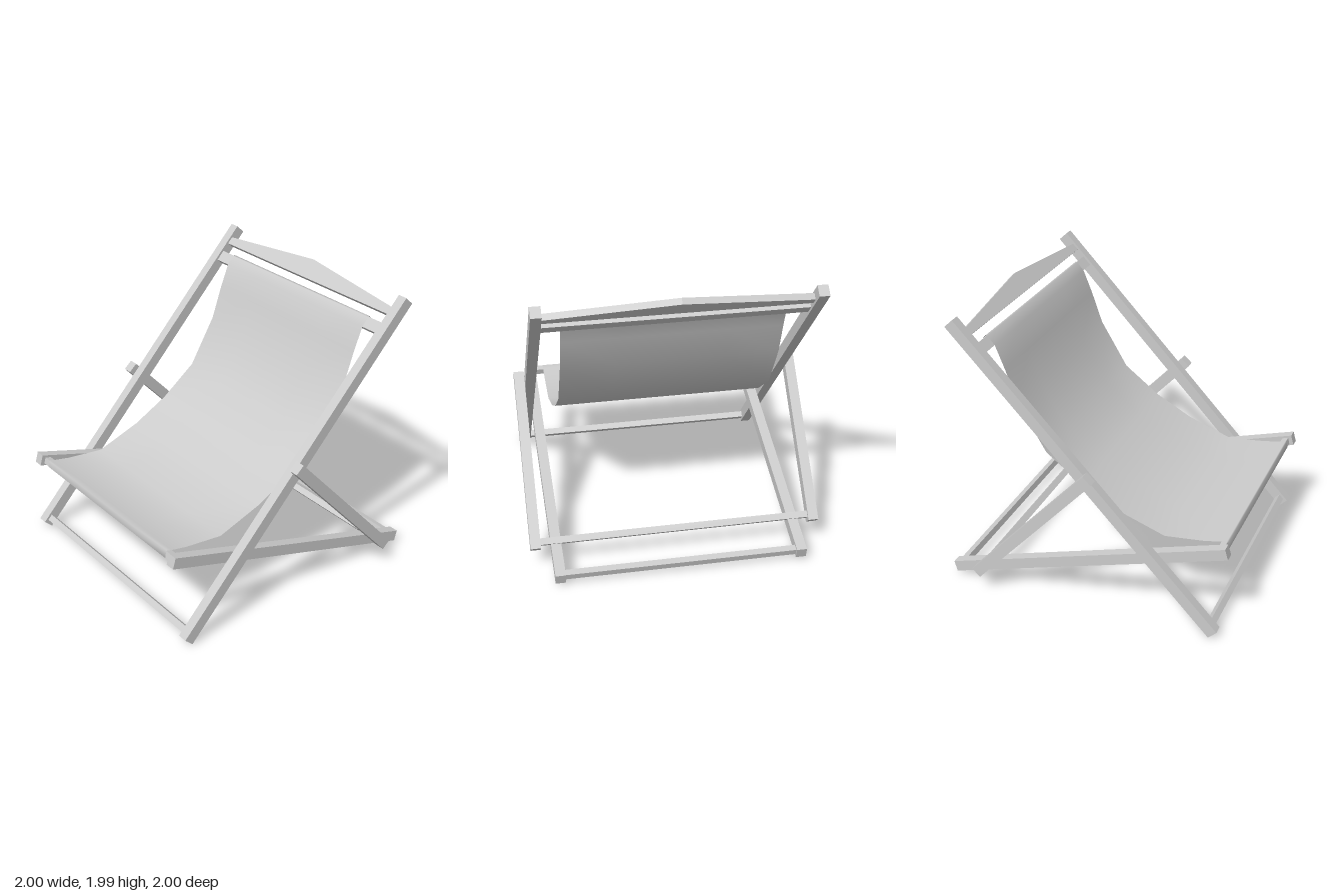
import * as THREE from 'three';

const material = new THREE.MeshStandardMaterial({ color: 0xcccccc });
const clothMaterial = new THREE.MeshStandardMaterial({ color: 0xcccccc, side: THREE.DoubleSide });

// Rail centre lines in the side plane, as [z, y] from top/front end to lower end
const BACK = { from: [-0.872, 1.97], to: [0.937, 0.033] };
const SEAT = { from: [0.992, 0.63], to: [-0.99, 0.063] };
const STRUT = { from: [0.09, 1.057], to: [-0.752, 0.153] };

const tilt = ({ from, to }) => Math.atan2(from[1] - to[1], to[0] - from[0]);

function addBox(group, name, size, x, y, z, angle) {
  const mesh = new THREE.Mesh(new THREE.BoxGeometry(...size), material);
  mesh.name = name;
  mesh.position.set(x, y, z);
  mesh.rotation.x = angle;
  group.add(mesh);
}

// A mirrored pair of long rails
function addRails(group, name, line, x) {
  const { from, to } = line;
  const length = Math.hypot(to[0] - from[0], to[1] - from[1]);
  for (const side of [1, -1]) {
    addBox(group, (side > 0 ? 'left' : 'right') + name, [0.07, 0.078, length],
      side * x, (from[1] + to[1]) / 2, (from[0] + to[0]) / 2, tilt(line));
  }
}

// A crossbar lying in the plane of a rail pair, placed at depth z
function addCrossbar(group, name, line, z, halfWidth, along = 0.045) {
  const { from, to } = line;
  const y = from[1] + (to[1] - from[1]) * (z - from[0]) / (to[0] - from[0]);
  addBox(group, name, [halfWidth * 2, 0.045, along], 0, y, z, tilt(line));
}

// Peaked board between the tops of the back rails
function makeHeadboard() {
  const shape = new THREE.Shape();
  shape.moveTo(-0.86, 0);
  shape.lineTo(0.86, 0);
  shape.lineTo(0.86, 0.055);
  shape.lineTo(0, 0.144);
  shape.lineTo(-0.86, 0.055);
  shape.closePath();
  const depth = 0.045;
  const geometry = new THREE.ExtrudeGeometry(shape, { depth, bevelEnabled: false });
  geometry.translate(0, 0, -depth / 2);
  const mesh = new THREE.Mesh(geometry, material);
  mesh.name = 'headboard';
  mesh.position.set(0, 1.865, -0.772);
  mesh.rotation.x = tilt(BACK) - Math.PI / 2;
  return mesh;
}

// Sagging cloth: a side profile swept across the width
function makeCloth() {
  const profile = [ // [z, y], from under the front bar to behind the upper bar
    [0.958, 0.592], [0.972, 0.598], [0.963, 0.642], [0.955, 0.648], [0.92, 0.637],
    [0.8, 0.615], [0.527, 0.59], [0.206, 0.709], [-0.056, 0.853], [-0.313, 1.051],
    [-0.51, 1.382], [-0.59, 1.612], [-0.655, 1.774], [-0.705, 1.829], [-0.714, 1.836], [-0.745, 1.802],
  ];
  const geometry = new THREE.PlaneGeometry(1.46, 1, 4, profile.length - 1);
  const position = geometry.attributes.position;
  for (let i = 0; i < position.count; i++) {
    // plane rows run from the top downwards, so read the profile backwards
    const [z, y] = profile[profile.length - 1 - Math.floor(i / 5)];
    position.setY(i, y);
    position.setZ(i, z);
  }
  geometry.computeVertexNormals();
  const mesh = new THREE.Mesh(geometry, clothMaterial);
  mesh.name = 'clothSeat';
  return mesh;
}

export function createModel() {
  const model = new THREE.Group();
  model.name = 'deckChair';

  // Three nested pairs of rails
  addRails(model, 'BackRail', BACK, 0.895);
  addRails(model, 'SeatRail', SEAT, 0.825);
  addRails(model, 'SupportStrut', STRUT, 0.965);

  // Crossbars joining each pair
  addCrossbar(model, 'upperClothBar', BACK, -0.70, 0.87, 0.08);
  addCrossbar(model, 'footBar', BACK, 0.903, 0.87);
  addCrossbar(model, 'frontClothBar', SEAT, 0.943, 0.80);
  addCrossbar(model, 'rearSeatBar', SEAT, -0.955, 0.80);
  addCrossbar(model, 'strutBar', STRUT, -0.72, 0.94);

  model.add(makeHeadboard(), makeCloth());
  return model;
}
